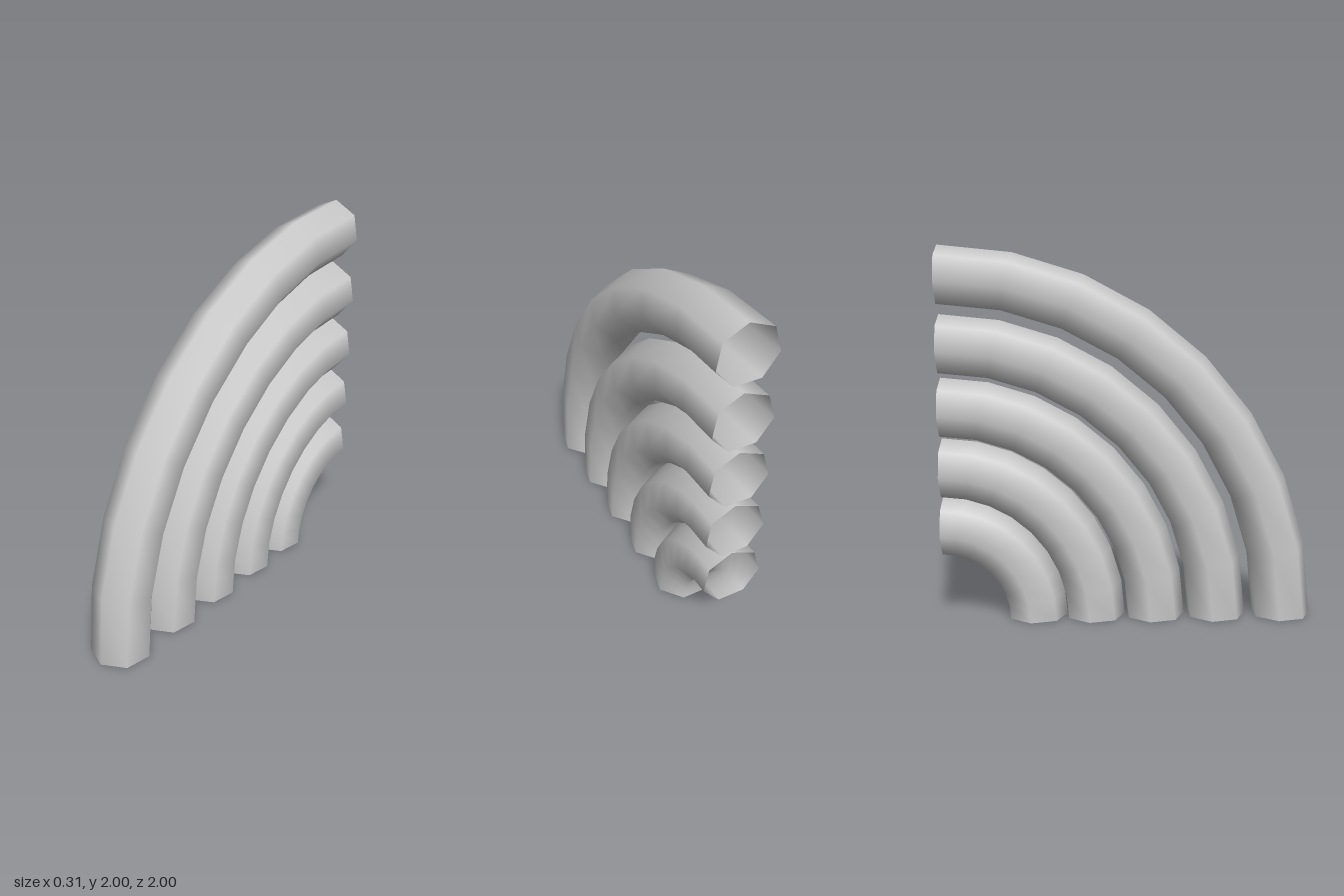
import * as THREE from 'three';
import { ParametricGeometry } from 'three/addons/geometries/ParametricGeometry.js';

const SIDES = 7;
const STEPS = 8;
const TUBE_RADIUS = 0.1615;
const ROLL = THREE.MathUtils.degToRad(2.3); // slight roll of the heptagonal section

// Quarter-circle tube rising from the ground and bending to the back
function quarterTube(bendRadius) {
  return new ParametricGeometry((u, v, target) => {
    const a = u * Math.PI * 2 + ROLL;
    const b = v * Math.PI / 2;
    const d = bendRadius + TUBE_RADIUS * Math.cos(a);
    target.set(TUBE_RADIUS * Math.sin(a), d * Math.sin(b), d * Math.cos(b));
  }, SIDES, STEPS);
}

export function createModel() {
  const group = new THREE.Group();
  group.name = 'nestedArches';
  const material = new THREE.MeshStandardMaterial({ color: 0xcccccc, side: THREE.DoubleSide });

  // Heptagonal cap facing the ground
  const capGeometry = new THREE.CircleGeometry(TUBE_RADIUS, SIDES, Math.PI / 2 - ROLL);
  capGeometry.rotateX(Math.PI / 2);

  // Concentric bends, all sharing a centre at the back bottom edge
  [1.8385, 1.479, 1.144, 0.818, 0.504].forEach((bendRadius, i) => {
    const arch = new THREE.Group();
    arch.name = `arch${i + 1}`;
    arch.position.z = -1;

    const tube = new THREE.Mesh(quarterTube(bendRadius), material);
    tube.name = 'bentTube';

    const cap = new THREE.Mesh(capGeometry, material);
    cap.name = 'bottomCap';
    cap.position.z = bendRadius;

    arch.add(tube, cap);
    group.add(arch);
  });

  return group;
}
